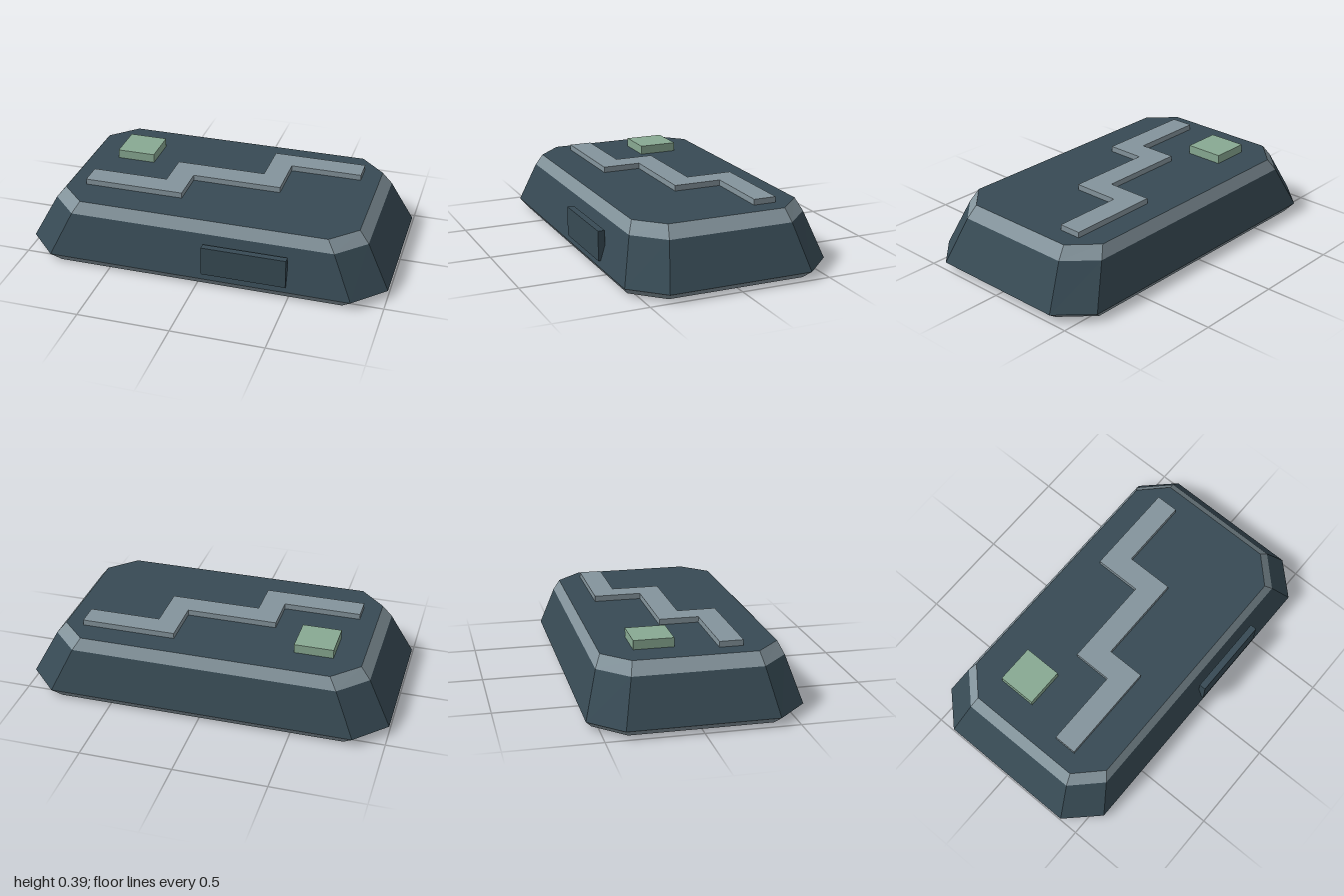
import * as THREE from 'three';

const mat = (name, color) => {
  const m = new THREE.MeshStandardMaterial({ color });
  m.name = name;
  return m;
};

// Chamfered-rectangle outline at height y: half sizes hx, hz and corner starts cx, cz
const ring = (y, hx, hz, cx, cz) =>
  [[hx, cz], [hx, -cz], [cx, -hz], [-cx, -hz], [-hx, -cz], [-hx, cz], [-cx, hz], [cx, hz]]
    .map(([x, z]) => [x, y, z]);

function facets(triangles) {
  const g = new THREE.BufferGeometry();
  g.setAttribute('position', new THREE.Float32BufferAttribute(triangles.flat(2), 3));
  g.computeVertexNormals();
  return g;
}

// Sloped wall between two outlines
const band = (lo, hi) => lo.flatMap((a, i) => {
  const j = (i + 1) % lo.length;
  return [[a, lo[j], hi[j]], [a, hi[j], hi[i]]];
});

// Flat lid over an outline
const cap = (r, up) => r.slice(1, -1).map((p, i) =>
  up ? [r[0], p, r[i + 2]] : [r[0], r[i + 2], p]);

export function createModel() {
  const group = new THREE.Group();
  group.name = 'chamferedDevice';
  const slate = mat('dark slate', 0x374a54);
  const grey = mat('blue grey', 0x84949c);
  const green = mat('sage green', 0x88a992);

  const add = (name, geometry, material, x = 0, y = 0, z = 0) => {
    const mesh = new THREE.Mesh(geometry, material);
    mesh.name = name;
    mesh.position.set(x, y, z);
    group.add(mesh);
  };

  // Body outlines from the floor to the top
  const foot = ring(0, 0.94, 0.53, 0.785, 0.375);
  const waist = ring(0.045, 1.0, 0.565, 0.835, 0.395);
  const shoulder = ring(0.28, 0.875, 0.494, 0.725, 0.343);
  const top = ring(0.345, 0.823, 0.464, 0.685, 0.327);

  add('base', facets([...cap(foot, false), ...band(foot, waist)]), grey);
  add('sideWalls', facets(band(waist, shoulder)), slate);
  add('topBevel', facets(band(shoulder, top)), grey);
  add('topPanel', facets(cap(top, true)), slate);

  // Raised stepped strip, drawn as (x, -z) and laid flat
  const outline = [
    [-0.725, -0.272], [-0.17, -0.272], [-0.17, -0.06], [0.325, -0.06], [0.325, 0.205], [0.72, 0.205],
    [0.72, 0.33], [0.2, 0.33], [0.2, 0.07], [-0.3, 0.07], [-0.3, -0.145], [-0.725, -0.145],
  ].map(([x, y]) => new THREE.Vector2(x, y));
  const strip = new THREE.ExtrudeGeometry(new THREE.Shape(outline), { depth: 0.032, bevelEnabled: false });
  strip.rotateX(-Math.PI / 2);
  add('steppedStrip', strip, grey, 0, 0.344, 0);

  // Square button and front plate
  add('squareButton', new THREE.BoxGeometry(0.213, 0.05, 0.213), green, -0.56, 0.369, -0.183);
  add('frontPlate', new THREE.BoxGeometry(0.46, 0.162, 0.037), slate, 0.26, 0.157, 0.549);

  return group;
}
